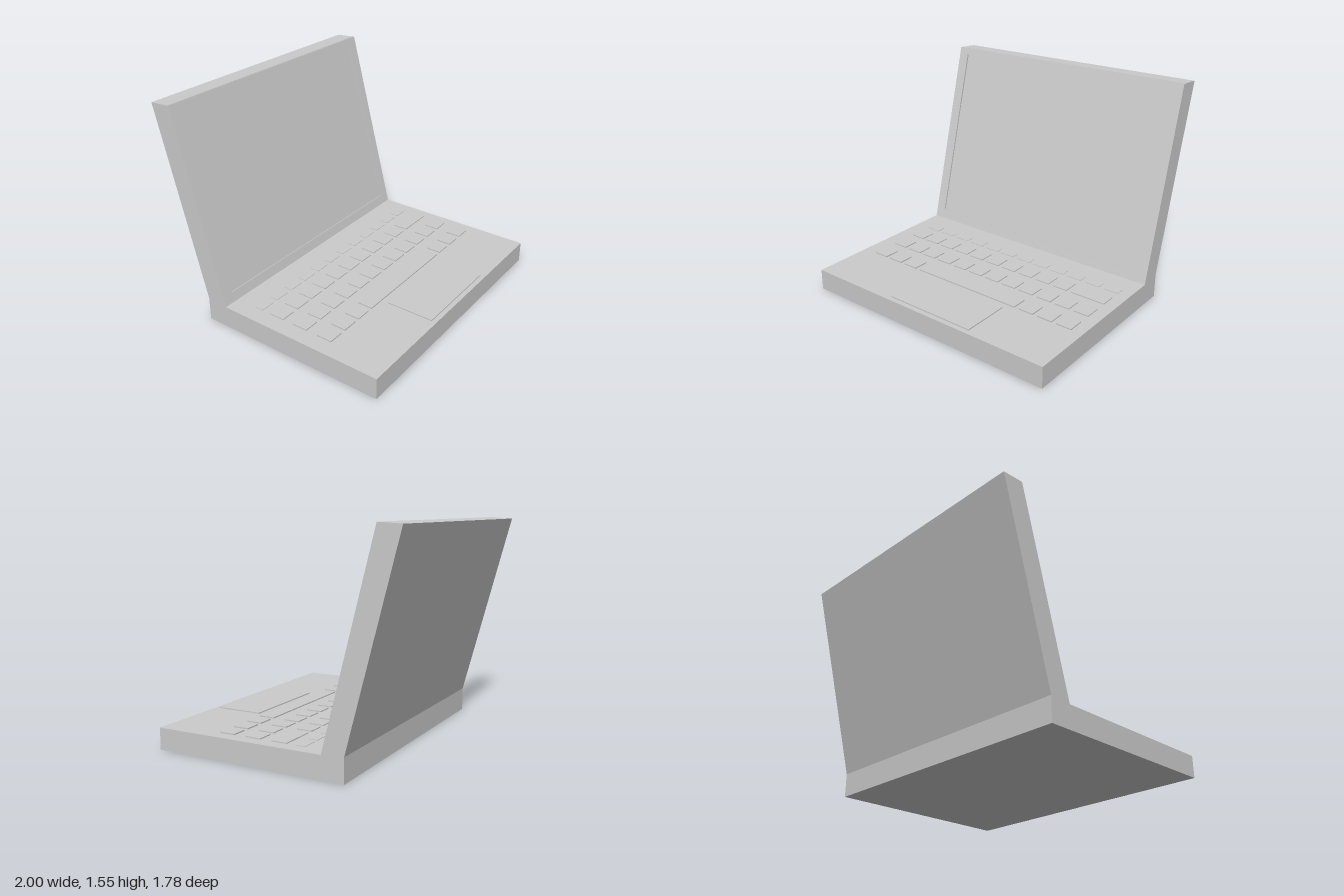
import * as THREE from 'three';

const material = new THREE.MeshStandardMaterial({ color: 0xcccccc, flatShading: true });

function addMesh(parent, name, geometry) {
  const mesh = new THREE.Mesh(geometry, material);
  mesh.name = name;
  parent.add(mesh);
  return mesh;
}

// Low raised block on the deck, given by its x and z ranges
function addPad(parent, name, x0, x1, z0, z1, top = 0.166) {
  const bottom = 0.13;
  const pad = addMesh(parent, name, new THREE.BoxGeometry(x1 - x0, top - bottom, z1 - z0));
  pad.position.set((x0 + x1) / 2, (top + bottom) / 2, (z0 + z1) / 2);
}

export function createModel() {
  const model = new THREE.Group();
  model.name = 'laptop';

  // Base and lid share one side profile (z, y), with the lid front set back for the screen
  const profile = new THREE.Shape([
    [0.89, 0], [0.89, 0.155], [-0.381, 0.16], [-0.747, 1.549],
    [-0.895, 1.54], [-0.53, 0.17], [-0.53, 0],
  ].map(([z, y]) => new THREE.Vector2(z, y)));
  const body = new THREE.ExtrudeGeometry(profile, { depth: 2, bevelEnabled: false });
  body.translate(0, 0, -1).rotateY(-Math.PI / 2);
  addMesh(model, 'baseAndLid', body);

  // Raised bezel around the screen
  const frame = new THREE.Shape([[-1, 0], [1, 0], [1, 1.437], [-1, 1.437]]
    .map(p => new THREE.Vector2(...p)));
  frame.holes.push(new THREE.Path([[-0.92, 0.072], [-0.92, 1.385], [0.915, 1.385], [0.915, 0.072]]
    .map(p => new THREE.Vector2(...p))));
  const bezel = new THREE.ExtrudeGeometry(frame, { depth: 0.012, bevelEnabled: false });
  bezel.translate(0, 0, -0.012);
  const bezelMesh = addMesh(model, 'screenBezel', bezel);
  bezelMesh.position.set(0, 0.16, -0.37);
  bezelMesh.rotation.x = -Math.atan2(0.365, 1.39);

  // Keyboard: each row lists the first and last column of every key
  const keyboard = new THREE.Group();
  keyboard.name = 'keyboard';
  model.add(keyboard);
  const singles = (from, to) => Array.from({ length: to - from + 1 }, (_, i) => [from + i, from + i]);
  const rows = [
    { z: [-0.205, -0.14], top: 0.163, keys: singles(0, 11) },
    { z: [-0.07, 0.045], keys: [...singles(0, 9), [10, 11]] },
    { z: [0.13, 0.245], keys: singles(0, 11) },
    { z: [0.335, 0.45], keys: [...singles(0, 2), [3, 8], ...singles(9, 11)] },
  ];
  const pitch = 0.1525, keyWidth = 0.115, left = -0.88;
  for (const { z, top, keys } of rows) {
    for (const [first, last] of keys) {
      addPad(keyboard, first === 3 && last === 8 ? 'spaceBar' : 'key',
        left + first * pitch, left + last * pitch + keyWidth, z[0], z[1], top);
    }
  }

  // Touchpad
  addPad(model, 'touchpad', -0.3, 0.395, 0.5, 0.855, 0.164);

  return model;
}
